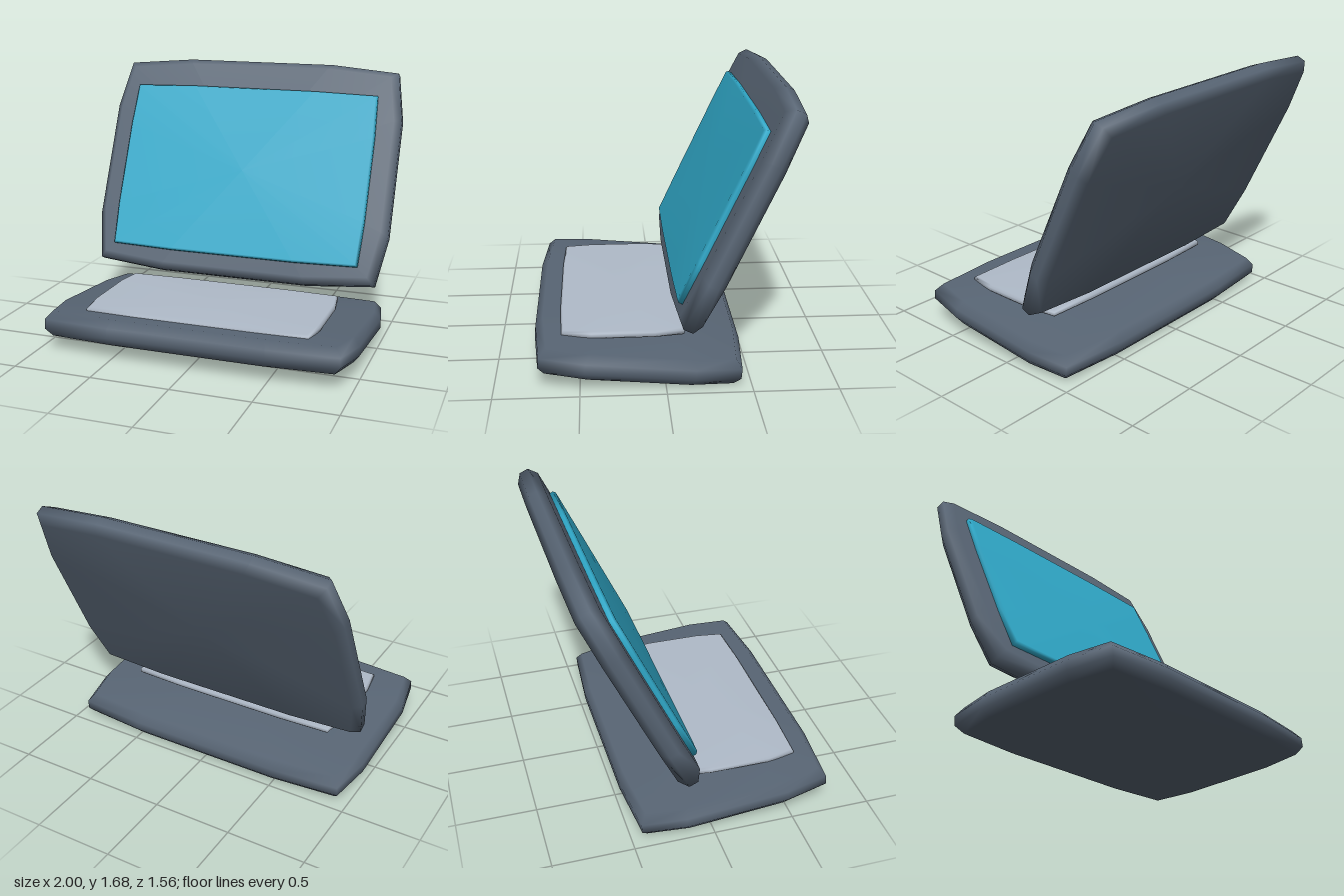
import * as THREE from 'three';

// Soft slab: bowed 12-point outline in x/y, chamfered through its thickness in z.
// side, corner and end are the three outline points of one quadrant.
function slab(side, corner, end, thickness, inset, drop) {
  const outline = [];
  const quadrant = [side, corner, end];
  for (const [sx, sy] of [[1, 1], [-1, 1], [-1, -1], [1, -1]]) {
    const pts = quadrant.map(([x, y]) => [x * sx, y * sy]);
    outline.push(...(sx * sy > 0 ? pts : pts.reverse()));
  }
  const h = thickness / 2;
  const rings = [[-h, inset], [-h + drop, 0], [h - drop, 0], [h, inset]];
  const n = outline.length;
  const pos = [], index = [];
  for (const [z, d] of rings) {
    for (const [x, y] of outline) {
      pos.push(x * (1 - d / side[0]), y * (1 - d / end[1]), z);
    }
  }
  const back = rings.length * n, front = back + 1;
  pos.push(0, 0, -h, 0, 0, h);
  for (let i = 0; i < n; i++) {
    const j = (i + 1) % n;
    for (let r = 0; r < rings.length - 1; r++) {
      const a = r * n + i, b = r * n + j;
      index.push(a, b, b + n, a, b + n, a + n);
    }
    const last = (rings.length - 1) * n;
    index.push(back, j, i, front, last + i, last + j);
  }
  const geometry = new THREE.BufferGeometry();
  geometry.setAttribute('position', new THREE.Float32BufferAttribute(pos, 3));
  geometry.setIndex(index);
  geometry.computeVertexNormals(); // large faces dominate, edges shade softly
  return geometry;
}

function part(name, geometry, color) {
  const mesh = new THREE.Mesh(geometry, new THREE.MeshStandardMaterial({ color }));
  mesh.name = name;
  return mesh;
}

export function createModel() {
  const model = new THREE.Group();
  model.name = 'laptop';
  const slate = 0x586574, teal = 0x30a9c9, pale = 0xb0bbc9;
  const deg = Math.PI / 180;

  // Base, rising slightly towards the front
  const base = part('base',
    slab([0.985, 0.32], [0.935, 0.59], [0.5, 0.625], 0.16, 0.04, 0.05), slate);
  base.position.set(0, 0.138, 0.15);
  base.rotation.x = -95.15 * deg;
  model.add(base);

  // Level keyboard panel, its front sunk into the base
  const keyboard = part('keyboardPanel',
    slab([0.738, 0.19], [0.712, 0.365], [0.38, 0.3775], 0.046, 0.012, 0.012), pale);
  keyboard.position.set(0, 0.26, 0.2425);
  keyboard.rotation.x = -90 * deg;
  model.add(keyboard);

  // Lid leaning back, with the screen standing proud of it
  const lid = new THREE.Group();
  lid.name = 'lid';
  lid.position.set(0, 1.002, -0.42);
  lid.rotation.x = -25.2 * deg;
  lid.add(part('lidShell',
    slab([1, 0.385], [0.945, 0.7], [0.5, 0.74], 0.15, 0.045, 0.045), slate));
  const screen = part('screen',
    slab([0.85, 0.28], [0.838, 0.56], [0.42, 0.571], 0.056, 0.012, 0.014), teal);
  screen.position.set(0, -0.04, 0.085);
  lid.add(screen);
  model.add(lid);

  return model;
}
